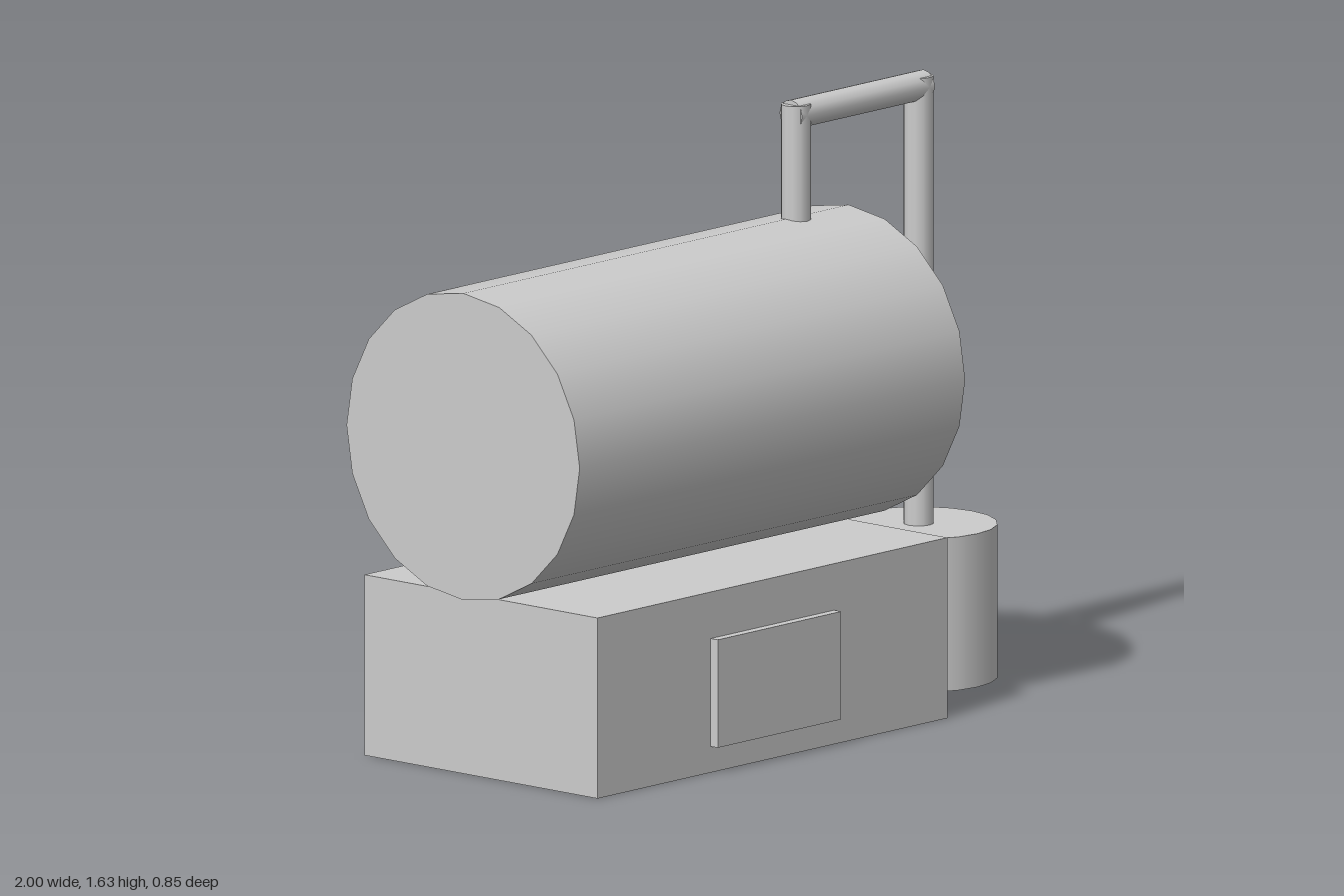
import * as THREE from 'three';

const Z = -0.012; // shared centre plane of the tanks and pipes

export function createModel() {
  const model = new THREE.Group();
  model.name = 'boilerWithCondenser';
  const grey = new THREE.MeshStandardMaterial({ color: 0xcccccc });
  grey.name = 'plainGrey';

  const add = (name, geometry, x, y, z) => {
    const mesh = new THREE.Mesh(geometry, grey);
    mesh.name = name;
    mesh.position.set(x, y, z);
    model.add(mesh);
    return mesh;
  };
  // box from its min and max corners
  const box = (name, [x0, y0, z0], [x1, y1, z1]) =>
    add(name, new THREE.BoxGeometry(x1 - x0, y1 - y0, z1 - z0),
      (x0 + x1) / 2, (y0 + y1) / 2, (z0 + z1) / 2);
  // upright cylinder between two heights
  const upright = (name, radius, x, y0, y1, sides) =>
    add(name, new THREE.CylinderGeometry(radius, radius, y1 - y0, sides), x, (y0 + y1) / 2, Z);
  // cylinder lying along x
  const lying = (name, radius, x0, x1, y, sides) =>
    add(name, new THREE.CylinderGeometry(radius, radius, x1 - x0, sides).rotateZ(Math.PI / 2),
      (x0 + x1) / 2, y, Z);

  // firebox with its door
  box('firebox', [-0.93, 0, Z - 0.412], [0.445, 0.485, Z + 0.412]);
  box('fireDoor', [-0.485, 0.07, Z + 0.412], [0, 0.36, Z + 0.437]);

  // boiler drum resting on the firebox
  lying('boilerDrum', 0.412, -1, 0.515, 0.898, 20);

  // collecting vessel beside the firebox
  upright('collectingVessel', 0.207, 0.792, 0, 0.412, 20);

  // pipe run from the drum over to the vessel
  upright('riserPipe', 0.04, 0.308, 1.29, 1.614, 12);
  lying('crossPipe', 0.04, 0.288, 0.81, 1.587, 12);
  upright('downPipe', 0.04, 0.79, 0.4, 1.614, 12);

  return model;
}
